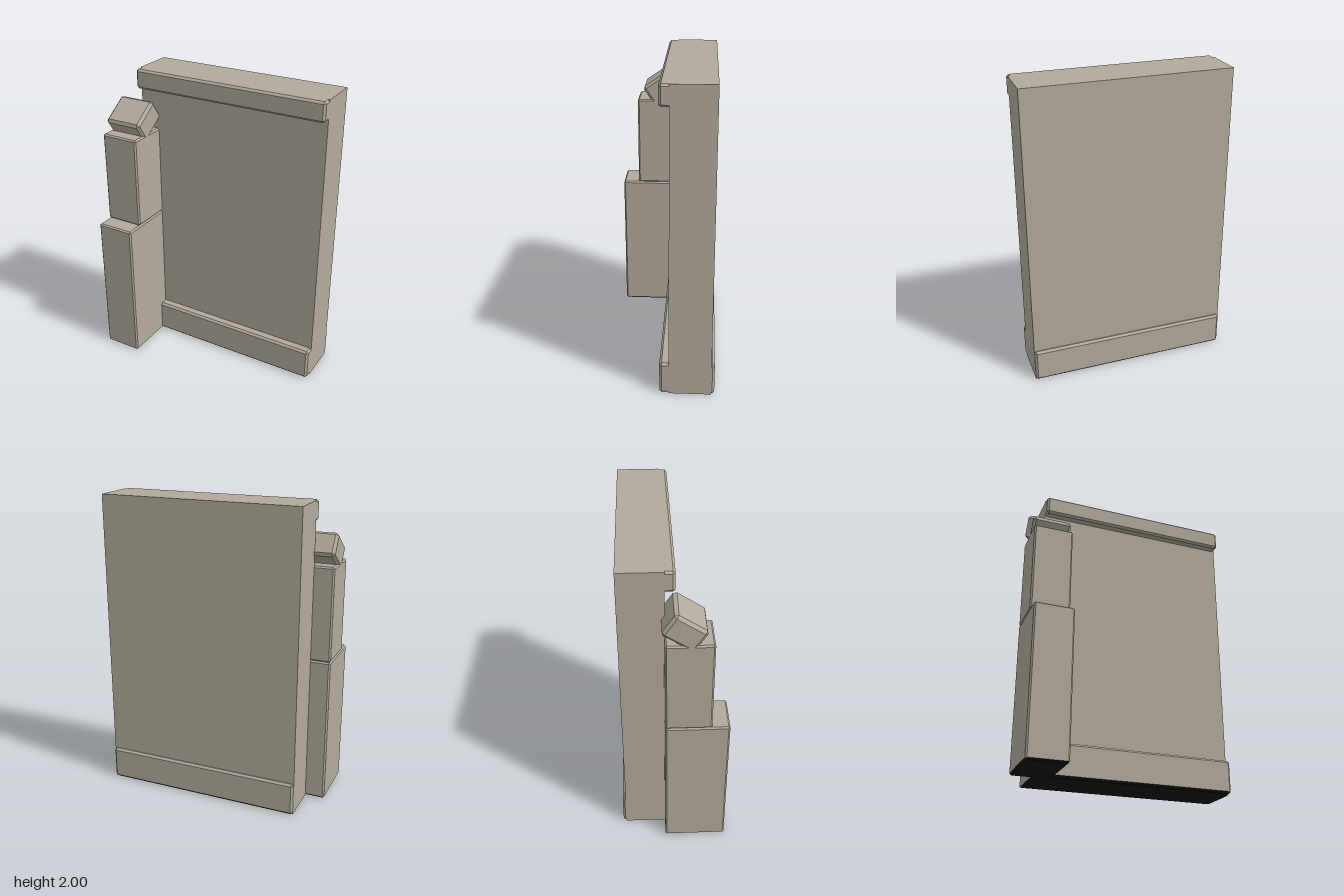
import * as THREE from 'three';
import { ConvexGeometry } from 'three/addons/geometries/ConvexGeometry.js';

const stone = new THREE.MeshStandardMaterial({ color: 0xb2aa9c });
stone.name = 'stone';
const underside = new THREE.MeshStandardMaterial({ color: 0x151515 });
underside.name = 'dark underside';

// Box with all edges chamfered by c, centred on the origin
function chamferBox(w, h, d, c) {
  const points = [];
  for (const sx of [-1, 1]) for (const sy of [-1, 1]) for (const sz of [-1, 1]) {
    const [x, y, z] = [sx * w / 2, sy * h / 2, sz * d / 2];
    points.push(
      new THREE.Vector3(x, y - sy * c, z - sz * c),
      new THREE.Vector3(x - sx * c, y, z - sz * c),
      new THREE.Vector3(x - sx * c, y - sy * c, z),
    );
  }
  return new ConvexGeometry(points);
}

// Gives the downward faces the second material
function darkenUnderside(geometry) {
  const g = geometry.index ? geometry.toNonIndexed() : geometry;
  g.clearGroups();
  const normal = g.attributes.normal;
  for (let i = 0; i < normal.count; i += 3) {
    g.addGroup(i, 3, normal.getY(i) < -0.6 ? 1 : 0);
  }
  return g;
}

// Block given by its limits on each axis; c is the chamfer, 0 for sharp edges
function block(name, [x0, x1], [y0, y1], [z0, z1], c) {
  const size = [x1 - x0, y1 - y0, z1 - z0];
  let geometry = c ? chamferBox(...size, c) : new THREE.BoxGeometry(...size);
  const grounded = y0 === 0;
  if (grounded) geometry = darkenUnderside(geometry);
  const mesh = new THREE.Mesh(geometry, grounded ? [stone, underside] : stone);
  mesh.name = name;
  mesh.position.set((x0 + x1) / 2, (y0 + y1) / 2, (z0 + z1) / 2);
  return mesh;
}

export function createModel() {
  const model = new THREE.Group();
  model.name = 'wallSection';

  // Wall slab with its plinth and top moulding
  const wallX = [-0.6, 0.73];
  model.add(
    block('wall', wallX, [0, 2], [-0.32, -0.05], 0),
    block('plinth', wallX, [0, 0.22], [-0.34, 0.01], 0.014),
    block('topMoulding', wallX, [1.87, 2], [-0.25, 0.01], 0.014),
  );

  // Stepped buttress at the end of the wall
  const buttressX = [-0.73, -0.47];
  model.add(
    block('lowerButtress', buttressX, [0, 0.98], [-0.055, 0.34], 0.01),
    block('upperButtress', buttressX, [0.98, 1.6], [-0.055, 0.23], 0.01),
  );

  // Tilted capstone
  const cap = new THREE.Mesh(chamferBox(0.26, 0.16, 0.225, 0.018), stone);
  cap.name = 'capstone';
  cap.position.set(-0.6, 1.68, 0.057);
  cap.rotation.x = THREE.MathUtils.degToRad(34);
  model.add(cap);

  return model;
}
